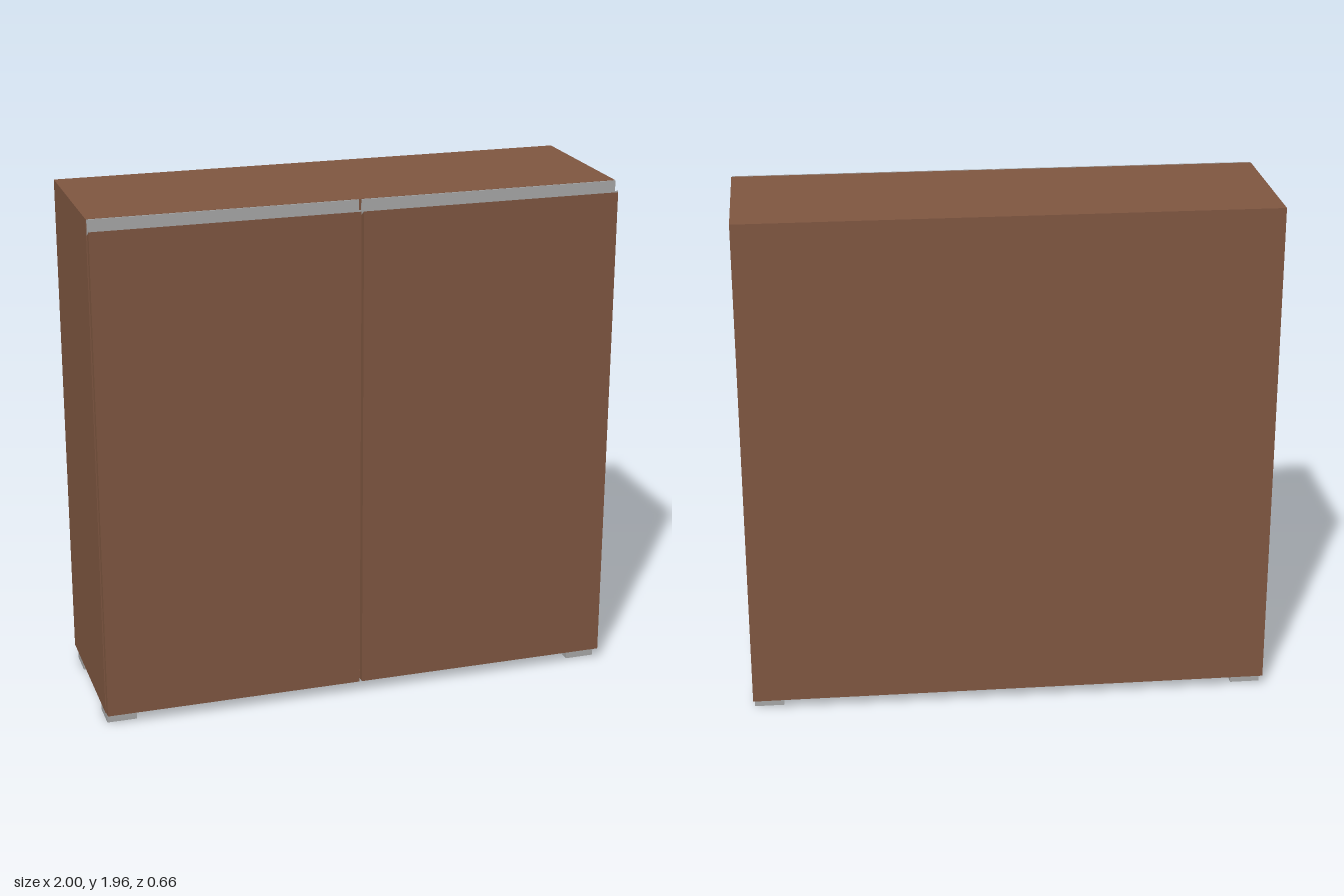
import * as THREE from 'three';

export function createModel() {
  const model = new THREE.Group();
  model.name = 'cabinet';
  const wood = new THREE.MeshStandardMaterial({ color: 0x805741 });
  wood.name = 'brown wood';
  const metal = new THREE.MeshStandardMaterial({ color: 0xa9a9a9 });
  metal.name = 'grey metal';

  const add = (name, geometry, material) => {
    const mesh = new THREE.Mesh(geometry, material);
    mesh.name = name;
    model.add(mesh);
    return mesh;
  };

  // Panel given by its extents on each axis
  const panel = (name, [x0, x1], [y0, y1], [z0, z1]) =>
    add(name, new THREE.BoxGeometry(x1 - x0, y1 - y0, z1 - z0), wood)
      .position.set((x0 + x1) / 2, (y0 + y1) / 2, (z0 + z1) / 2);

  // Profile of [z, y] points extruded along x from x0 to x1
  const bar = (name, points, x0, x1, material) => {
    const shape = new THREE.Shape(points.map(([z, y]) => new THREE.Vector2(-z, y)));
    const geometry = new THREE.ExtrudeGeometry(shape, { depth: x1 - x0, bevelEnabled: false });
    geometry.rotateY(Math.PI / 2);
    geometry.translate(x0, 0, 0);
    add(name, geometry, material);
  };

  // Carcass
  const bottom = 0.042, top = 1.958, back = -0.298, front = 0.293, t = 0.03;
  panel('backPanel', [-1, 1], [bottom, top], [-0.33, back]);
  panel('topPanel', [-1 + t, 1 - t], [top - t, top], [back, front]);
  panel('bottomPanel', [-1 + t, 1 - t], [bottom, bottom + t], [back, front]);
  panel('divider', [-t / 2, t / 2], [bottom + t, top - t], [back, front - 0.01]);
  panel('leftSide', [1 - t, 1], [bottom, top], [back, front]);
  panel('rightSide', [-1, -1 + t], [bottom, top], [back, front]);

  // Doors with a sloped top edge, each carrying a metal grip rail
  const doorProfile = [[0.302, 0.045], [0.33, 0.045], [0.33, 1.92], [0.302, 1.902]];
  const railProfile = [
    [0.296, 1.9], [0.302, 1.902], [0.33, 1.92], [0.33, 1.926],
    [0.302, 1.909], [0.302, 1.958], [0.296, 1.958],
  ];
  for (const [side, x0, x1] of [['left', 0.005, 0.998], ['right', -0.998, -0.005]]) {
    bar(side + 'Door', doorProfile, x0, x1, wood);
    bar(side + 'GripRail', railProfile, x0, x1, metal);
  }

  // Square hollow feet
  const square = (target, h) => {
    target.moveTo(-h, -h);
    target.lineTo(h, -h);
    target.lineTo(h, h);
    target.lineTo(-h, h);
    target.closePath();
    return target;
  };
  const footShape = square(new THREE.Shape(), 0.057);
  footShape.holes.push(square(new THREE.Path(), 0.031));
  const footGeometry = new THREE.ExtrudeGeometry(footShape, { depth: bottom, bevelEnabled: false });
  footGeometry.rotateX(-Math.PI / 2);
  for (const x of [-0.937, 0.937])
    for (const z of [-0.235, 0.235])
      add('foot', footGeometry, metal).position.set(x, 0, z);

  return model;
}
